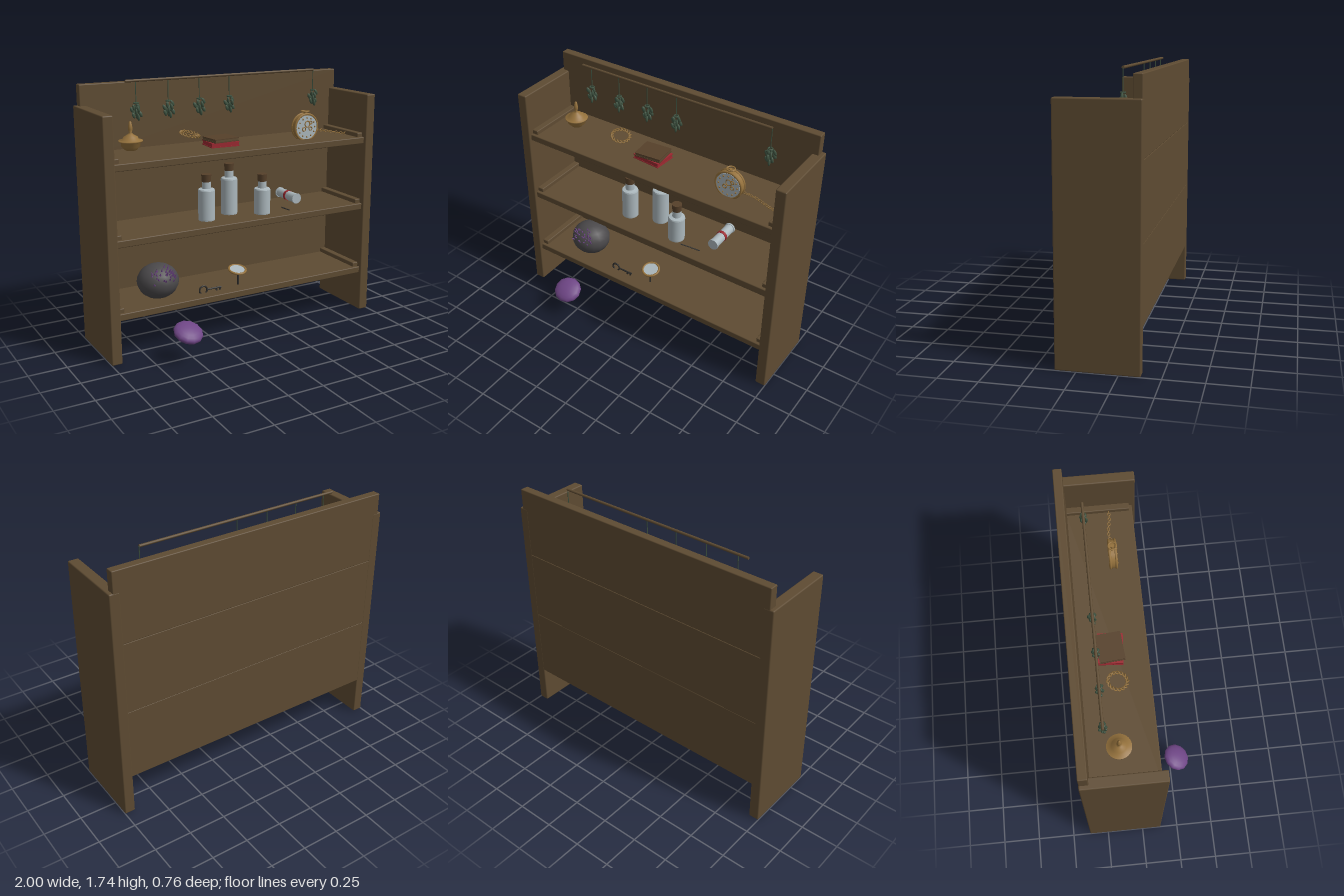
import * as THREE from 'three';
import { RoundedBoxGeometry } from 'three/addons/geometries/RoundedBoxGeometry.js';

const mat = (name, color, side = THREE.FrontSide) => {
  const m = new THREE.MeshStandardMaterial({ color, side });
  m.name = name;
  return m;
};

export function createModel() {
  const wood = mat('wood', 0x5e4b32), cork = mat('cork', 0x56402a), gold = mat('brass', 0x94713c);
  const green = mat('herb green', 0x3e5240), red = mat('red', 0x9a2830), white = mat('pale glass', 0xabb7bc);
  const dark = mat('dark iron', 0x2f2e2c), purple = mat('amethyst', 0x6e4585), stone = mat('stone', 0x4a484a);
  const root = new THREE.Group();
  root.name = 'displayShelf';

  let seed = 7;
  const rnd = () => (seed = (seed * 16807) % 2147483647) / 2147483647;
  const add = (name, geo, m, x = 0, y = 0, z = 0, parent = root) => {
    const mesh = new THREE.Mesh(geo, m);
    mesh.name = name;
    mesh.position.set(x, y, z);
    parent.add(mesh);
    return mesh;
  };
  const group = (name, x, y, z) => {
    const g = new THREE.Group();
    g.name = name;
    g.position.set(x, y, z);
    root.add(g);
    return g;
  };
  // Board given by its two extreme corners
  const board = (name, x0, x1, y0, y1, z0, z1, r = 0.006) =>
    add(name, new RoundedBoxGeometry(x1 - x0, y1 - y0, z1 - z0, 2, r), wood, (x0 + x1) / 2, (y0 + y1) / 2, (z0 + z1) / 2);
  const cyl = (r, h, seg = 16, r2 = r) => new THREE.CylinderGeometry(r, r2, h, seg);
  const tube = (pts, r, n = 24) =>
    new THREE.TubeGeometry(new THREE.CatmullRomCurve3(pts.map(p => new THREE.Vector3(...p))), n, r, 6);

  // Carcass: sides, shelves with end cleats, back boards
  for (const s of [-1, 1]) {
    board('sidePanel', s > 0 ? 0.93 : -1, s > 0 ? 1 : -0.93, 0, 1.58, -0.38, 0.13, 0.008);
  }
  for (const y of [0.28, 0.757, 1.235]) {
    board('shelf', -0.935, 0.935, y, y + 0.046, -0.34, 0.11);
    for (const s of [-1, 1]) {
      board('shelfCleat', s > 0 ? 0.888 : -0.935, s > 0 ? 0.935 : -0.888, y + 0.04, y + 0.075, -0.33, 0.09);
    }
  }
  board('lowerBackBoard', -0.94, 0.94, 0.277, 0.765, -0.379, -0.322, 0.003);
  board('middleBackBoard', -0.94, 0.94, 0.765, 1.242, -0.379, -0.322, 0.003);
  board('upperBackBoard', -0.975, 0.975, 1.242, 1.715, -0.379, -0.322);

  // Drying rod with hanging herb bundles
  add('dryingRod', cyl(0.009, 1.42, 10), wood, 0, 1.732, -0.215).rotation.z = Math.PI / 2;
  for (const x of [-0.64, -0.415, -0.19, 0.035, 0.71]) {
    const g = group('herbBundle', x, 1.58, -0.215);
    add('string', cyl(0.003, 0.15, 6), green, 0, 0.075, 0, g);
    add('knot', new THREE.TorusGeometry(0.014, 0.005, 6, 12), green, 0, 0.01, 0, g).rotation.x = Math.PI / 2;
    for (let i = 0; i < 12; i++) {
      const a = i * 2.4, d = 0.012 + 0.02 * rnd();
      const leaf = add('leaf', new THREE.SphereGeometry(0.014, 8, 6), green,
        Math.cos(a) * d, -0.008 - i * 0.0065, Math.sin(a) * d * 0.7, g);
      leaf.scale.set(0.85, 1.6, 0.6);
      leaf.rotation.set(0, -a, Math.cos(a) * 0.5);
    }
  }

  // Incense burner
  const profile = [[0, 0], [0.035, 0], [0.06, 0.025], [0.063, 0.05], [0.077, 0.054], [0.077, 0.062], [0.055, 0.064],
    [0.045, 0.085], [0.018, 0.1], [0.008, 0.112], [0.014, 0.13], [0.013, 0.15], [0.008, 0.178], [0, 0.184]];
  add('incenseBurner', new THREE.LatheGeometry(profile.map(p => new THREE.Vector2(...p)), 28), gold, -0.72, 1.31, -0.13);

  // Twisted bracelet: two wavy strands
  const bracelet = group('bracelet', -0.32, 1.38, -0.1);
  bracelet.rotation.z = -0.18;
  bracelet.rotation.x = 0.14;
  for (const phase of [0, Math.PI]) {
    const pts = [];
    for (let i = 0; i < 64; i++) {
      const a = i / 64 * Math.PI * 2, r = 0.059 + 0.008 * Math.cos(8 * a + phase);
      pts.push(new THREE.Vector3(Math.cos(a) * r, 0.008 * Math.sin(8 * a + phase), Math.sin(a) * r));
    }
    add('strand', new THREE.TubeGeometry(new THREE.CatmullRomCurve3(pts, true), 96, 0.004, 6, true), gold, 0, 0, 0, bracelet);
  }

  // Stacked books
  const redBook = group('redBook', -0.08, 1.281, -0.125);
  redBook.rotation.y = -0.07;
  for (const y of [0.003, 0.029]) add('cover', new THREE.BoxGeometry(0.2, 0.006, 0.16), red, 0, y, 0, redBook);
  add('bookBlock', new THREE.BoxGeometry(0.194, 0.02, 0.154), red, 0, 0.016, 0, redBook);
  const brownBook = group('brownBook', -0.08, 1.313, -0.125);
  brownBook.rotation.y = 0.09;
  for (const y of [0.003, 0.022]) add('cover', new THREE.BoxGeometry(0.185, 0.006, 0.16), cork, 0, y, 0, brownBook);
  add('bookBlock', new THREE.BoxGeometry(0.178, 0.014, 0.154), wood, 0, 0.0125, 0, brownBook);

  // Pocket watch with dial, markers and chain
  const watch = group('pocketWatch', 0.54, 1.363, -0.052);
  add('case', cyl(0.092, 0.044, 36), gold, 0, 0, 0, watch).rotation.x = Math.PI / 2;
  for (const z of [-0.019, 0.019]) add('rim', new THREE.TorusGeometry(0.09, 0.008, 8, 36), gold, 0, 0, z, watch);
  add('dial', cyl(0.083, 0.004, 36), white, 0, 0, 0.0235, watch).rotation.x = Math.PI / 2;
  for (let i = 0; i < 12; i++) {
    const a = i * Math.PI / 6;
    add('hourMarker', new THREE.SphereGeometry(0.006, 8, 6), gold, Math.cos(a) * 0.066, Math.sin(a) * 0.066, 0.026, watch);
  }
  for (const [x, y, r] of [[0.005, 0.022, 0.02], [0.03, 0.03, 0.011], [-0.022, -0.012, 0.013], [0.03, -0.01, 0.012]]) {
    add('gear', new THREE.TorusGeometry(r, 0.004, 6, 18), gold, x, y, 0.026, watch);
  }
  add('crownStem', cyl(0.011, 0.02, 12), gold, 0, 0.097, 0, watch);
  add('crownRing', new THREE.TorusGeometry(0.026, 0.005, 8, 20), gold, 0, 0.108, 0, watch).rotation.x = Math.PI / 2;
  for (let i = 0; i < 14; i++) {
    const t = i / 13;
    const link = add('chainLink', new THREE.TorusGeometry(0.009, 0.0025, 6, 10), gold,
      0.645 + 0.26 * t, 1.333 - 0.048 * t, -0.055 - 0.008 * Math.sin(t * 6));
    link.scale.x = 1.25;
    link.rotation.x = i % 2 ? Math.PI / 2 : 0.2;
  }

  // Corked bottles
  for (const [x, z, h] of [[-0.225, -0.06, 0.21], [-0.018, -0.126, 0.25], [0.18, -0.02, 0.175]]) {
    const g = group('bottle', x, 0.803, z);
    const pts = [[0, 0], [0.055, 0], [0.056, 0.008], [0.056, h - 0.008], [0.053, h], [0.03, h + 0.005], [0.029, h + 0.052], [0, h + 0.052]];
    // Doubled corner points keep the shoulder and base crisp
    const crisp = pts.flatMap(p => [new THREE.Vector2(...p), new THREE.Vector2(p[0], p[1] + 1e-5)]);
    add('glass', new THREE.LatheGeometry(crisp, 24), white, 0, 0, 0, g);
    add('stopper', cyl(0.034, 0.05, 16, 0.03), cork, 0, h + 0.075, 0, g);
  }

  // Tied scroll and a thin wand
  const scroll = group('scroll', 0.462, 0.868, -0.13);
  scroll.rotation.x = Math.PI / 2;
  add('paperRoll', cyl(0.033, 0.22, 20), white, 0, 0, 0, scroll);
  for (const y of [-0.105, 0.105]) add('rollEnd', cyl(0.037, 0.012, 12), white, 0, y, 0, scroll);
  add('ribbon', cyl(0.036, 0.022, 20), red, 0, 0, 0, scroll);
  add('wand', tube([[0.275, 0.853, 0.076], [0.33, 0.828, 0.043], [0.385, 0.802, 0.01]], 0.004), dark);

  // Geode with a crystal cluster on its upper front
  const geode = group('geode', -0.59, 0.44, -0.06);
  add('geodeShell', new THREE.SphereGeometry(0.14, 16, 12), stone, 0, 0, 0, geode).scale.set(1, 0.84, 0.96);
  for (let i = 0; i < 34; i++) {
    const dir = new THREE.Vector3(-0.55 + 1.1 * rnd(), 0.1 + 0.85 * rnd(), 0.45 + 0.45 * rnd()).normalize();
    const c = add('crystal', new THREE.ConeGeometry(0.011, 0.035 + 0.02 * rnd(), 6), purple,
      dir.x * 0.138, dir.y * 0.12, dir.z * 0.133, geode);
    c.quaternion.setFromUnitVectors(new THREE.Vector3(0, 1, 0), dir.add(new THREE.Vector3(0, 0.7, 0)).normalize());
  }

  // Loose amethyst lobe
  const lobe = add('amethystLobe', new THREE.SphereGeometry(0.099, 12, 10), purple, -0.545, 0.193, 0.29);
  lobe.scale.set(1, 0.42, 0.97);
  lobe.rotation.set(0.47, 0, -0.1);

  // Iron key
  const key = group('key', -0.3, 0.345, 0.025);
  add('keyBow', new THREE.TorusGeometry(0.028, 0.006, 8, 20), dark, 0, 0, 0, key);
  add('keyShaft', cyl(0.006, 0.11, 8), dark, 0.08, 0, 0, key).rotation.z = Math.PI / 2;
  for (const x of [0.1, 0.125]) add('keyTooth', new THREE.BoxGeometry(0.01, 0.025, 0.008), dark, x, -0.012, 0, key);

  // Hand mirror on its upright handle
  const mirror = group('handMirror', -0.02, 0.432, -0.01);
  mirror.rotation.x = 0.25;
  add('mirrorFrame', new THREE.TorusGeometry(0.058, 0.008, 8, 28), gold, 0, 0, 0, mirror).rotation.x = Math.PI / 2;
  add('mirrorGlass', cyl(0.056, 0.006, 28), white, 0, 0, 0, mirror);
  add('mirrorHandle', cyl(0.006, 0.11, 8), dark, -0.02, 0.345, 0);

  return root;
}
